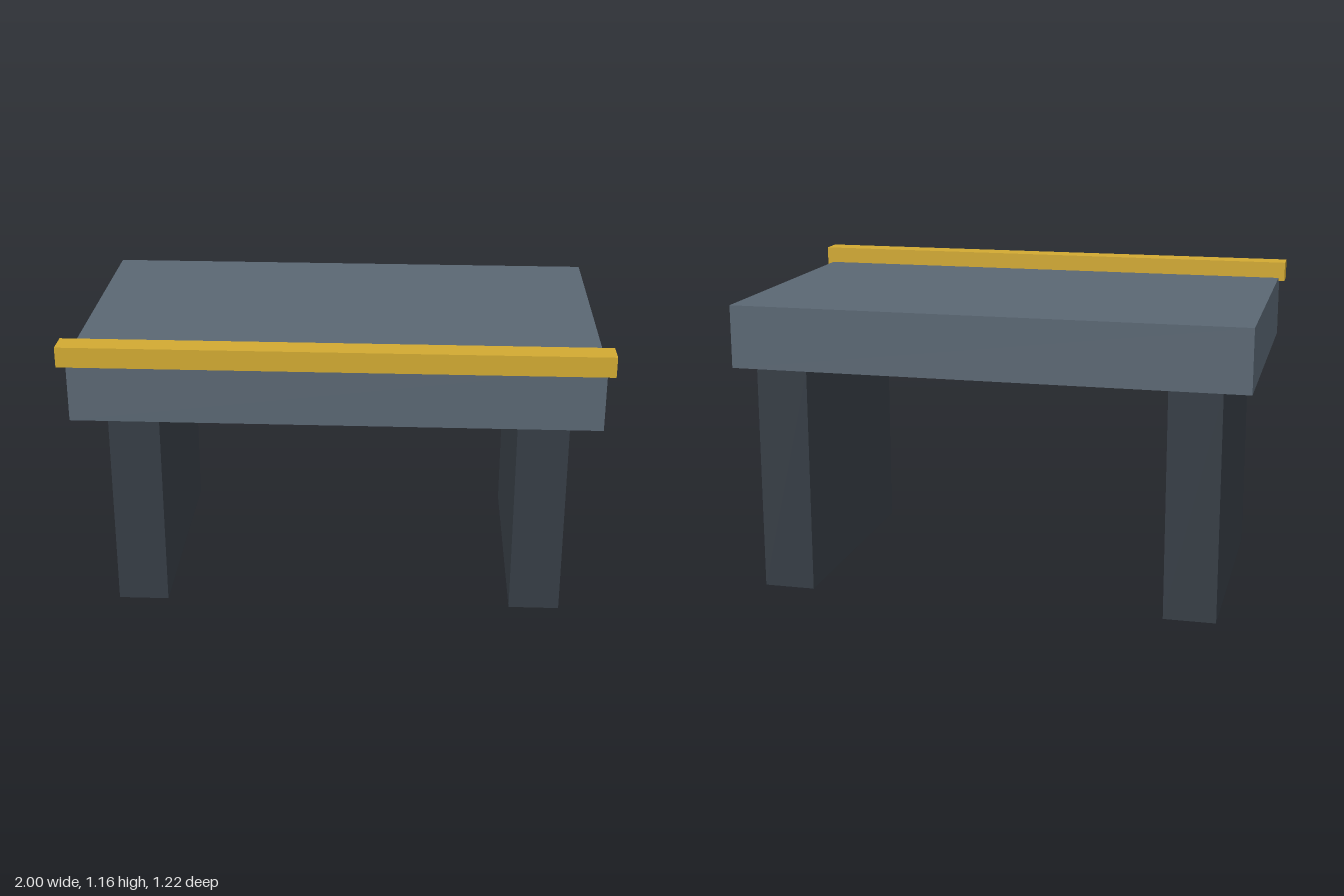
import * as THREE from 'three';

// Box spanning the given min/max corners
function block(name, color, [x0, y0, z0], [x1, y1, z1]) {
  const mesh = new THREE.Mesh(
    new THREE.BoxGeometry(x1 - x0, y1 - y0, z1 - z0),
    new THREE.MeshStandardMaterial({ color })
  );
  mesh.position.set((x0 + x1) / 2, (y0 + y1) / 2, (z0 + z1) / 2);
  mesh.name = name;
  return mesh;
}

export function createModel() {
  const group = new THREE.Group();
  group.name = 'platform';

  // Thick deck slab
  group.add(block('deck', 0x5a6773, [-0.976, 0.86, -0.61], [0.976, 1.1, 0.561]));

  // Edge rail overhanging the front of the deck
  group.add(block('edgeRail', 0xd1a932, [-1, 1.088, 0.515], [1, 1.164, 0.61]));

  // Wall-like supports, flush with the back of the deck
  const support = block('leftSupport', 0x363d45, [0.68, 0, -0.61], [0.876, 0.86, 0.366]);
  const mirrored = support.clone();
  mirrored.name = 'rightSupport';
  mirrored.position.x *= -1;
  group.add(support, mirrored);

  return group;
}
